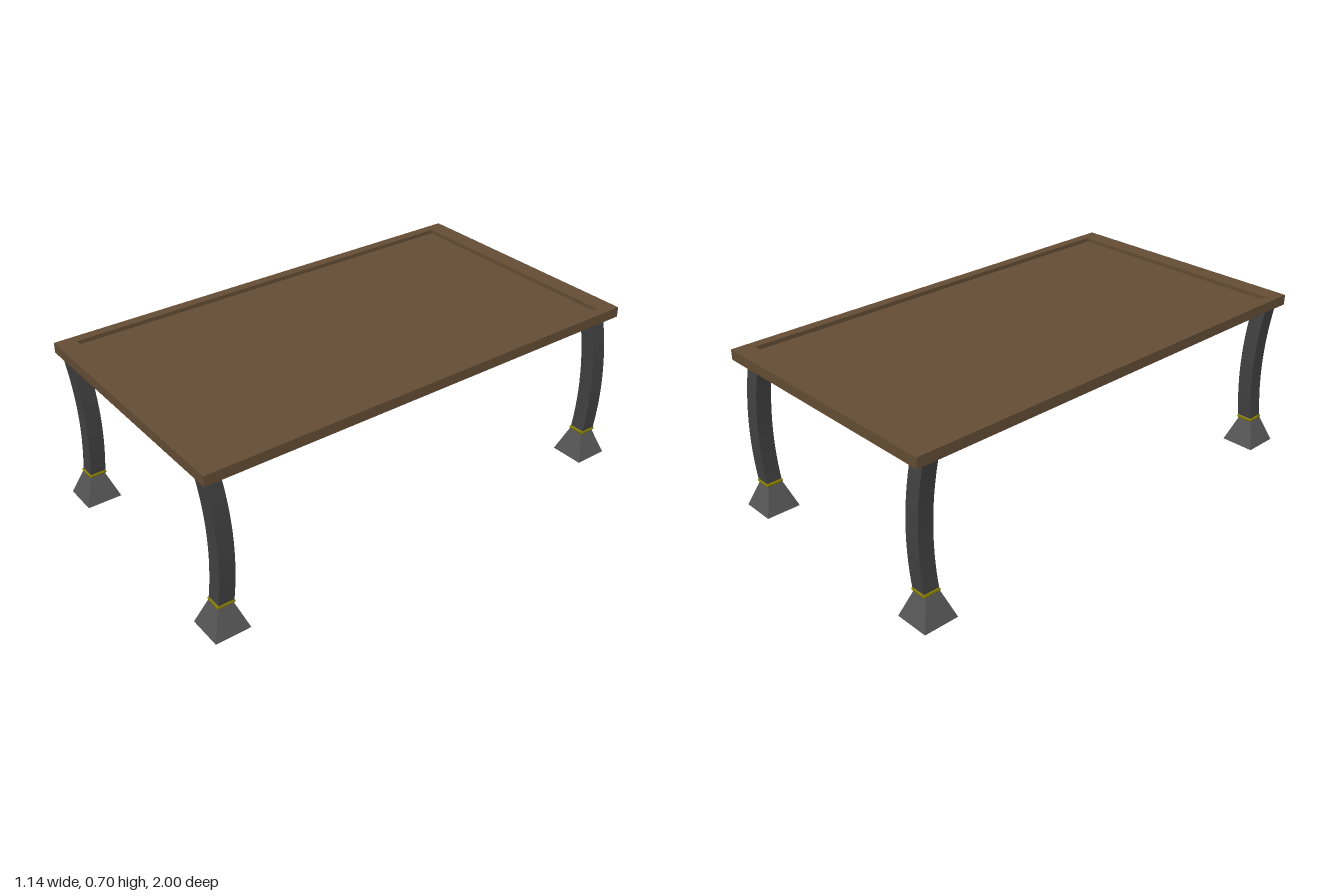
import * as THREE from 'three';

const material = (color) => new THREE.MeshStandardMaterial({ color, flatShading: true });
const wood = material(0x654e35);
const legMetal = material(0x424242);
const footMetal = material(0x555555);
const brass = material(0x8c8200);

const TOP = { x0: -0.572, x1: 0.547, z0: -1, z1: 0.983, y0: 0.66, y1: 0.703 };
const HOLE = { x0: -0.53, x1: 0.504, z0: -0.92, z1: 0.905 };
const RECESS = 0.017;
const LEG_BOTTOM = 0.11;
const LEG_WIDTH = 0.066;

// Sideways bow of a leg at height y
const bow = (y) => 0.011 - 0.2 * (y - 0.33) ** 2;

function part(name, geometry, mat) {
  const mesh = new THREE.Mesh(geometry, mat);
  mesh.name = name;
  return mesh;
}

// Rectangle in x and -z, so that extruding upwards keeps z the right way round
function rectangle(PathType, r) {
  return new PathType([[r.x0, -r.z1], [r.x1, -r.z1], [r.x1, -r.z0], [r.x0, -r.z0]]
    .map(([x, y]) => new THREE.Vector2(x, y)));
}

function slab(shape, y0, y1) {
  const geometry = new THREE.ExtrudeGeometry(shape, { depth: y1 - y0, bevelEnabled: false });
  return geometry.rotateX(-Math.PI / 2).translate(0, y0, 0);
}

// Square solid from [half width, y] pairs
function squareLathe(profile) {
  const points = profile.map(([w, y]) => new THREE.Vector2(w * Math.SQRT2, y));
  return new THREE.LatheGeometry(points, 4).rotateY(Math.PI / 4);
}

function createTabletop() {
  const group = new THREE.Group();
  group.name = 'tabletop';
  // Raised rim around the sunken panel
  const rim = rectangle(THREE.Shape, TOP);
  rim.holes.push(rectangle(THREE.Path, HOLE));
  group.add(part('rim', slab(rim, TOP.y0, TOP.y1), wood));
  group.add(part('panel', slab(rectangle(THREE.Shape, HOLE), TOP.y0, TOP.y1 - RECESS), wood));
  return group;
}

function createLeg() {
  const leg = new THREE.Group();
  // Bowed square post, leaning diagonally
  const height = TOP.y0 - LEG_BOTTOM;
  const post = new THREE.BoxGeometry(LEG_WIDTH, height, LEG_WIDTH, 1, 14, 1);
  post.translate(0, LEG_BOTTOM + height / 2, 0);
  const pos = post.attributes.position;
  for (let i = 0; i < pos.count; i++) {
    const d = bow(pos.getY(i));
    pos.setX(i, pos.getX(i) + d);
    pos.setZ(i, pos.getZ(i) - d);
  }
  post.computeVertexNormals();
  leg.add(part('post', post, legMetal));

  // Flared foot and the thin collar above it
  leg.add(part('foot', squareLathe([[0, 0], [0.0745, 0], [0.033, 0.11], [0, 0.11]]), footMetal));
  const collar = squareLathe([[0, 0.11], [0.033, 0.11], [0.036, 0.114],
    [0.036, 0.122], [0.033, 0.126], [0, 0.126]]);
  collar.translate(0.002, 0, -0.002);
  leg.add(part('collar', collar, brass));
  return leg;
}

export function createModel() {
  const model = new THREE.Group();
  model.name = 'table';
  model.add(createTabletop());
  // All four legs bow in the same direction
  for (const [sx, side] of [[1, 'Left'], [-1, 'Right']]) {
    for (const [sz, end] of [[1, 'front'], [-1, 'back']]) {
      const leg = createLeg();
      leg.name = `${end}${side}Leg`;
      leg.position.set(sx * 0.4965, 0, sz * 0.9255);
      model.add(leg);
    }
  }
  return model;
}
